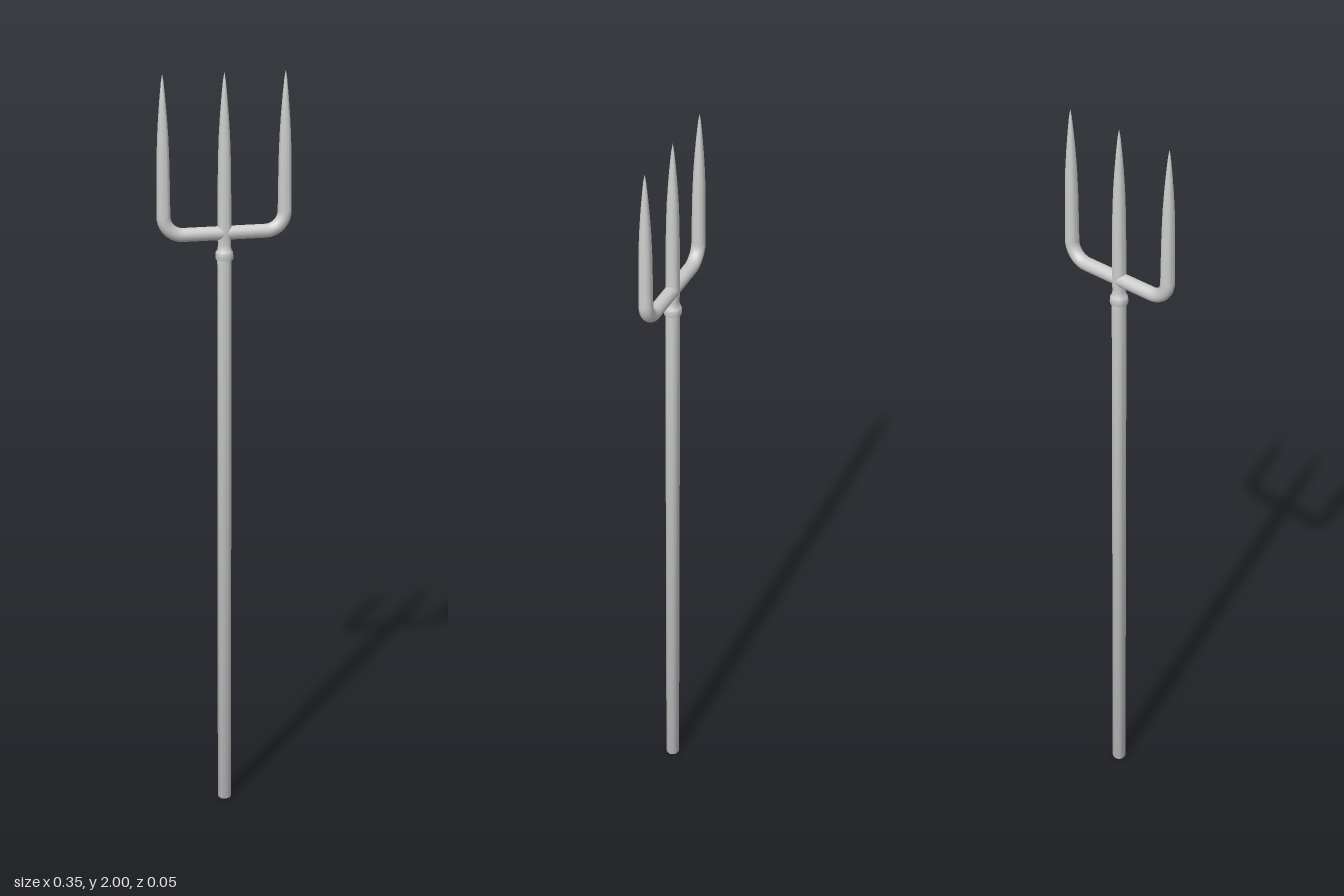
import * as THREE from 'three';
import { toCreasedNormals } from 'three/addons/utils/BufferGeometryUtils.js';

const SIDES = 16;
const TINE_X = 0.158, BAR_Y = 1.592, BEND = 0.05, BAR_R = 0.018;

const material = new THREE.MeshStandardMaterial({ color: 0xcccccc });

function addMesh(group, name, geometry, x = 0) {
  const mesh = new THREE.Mesh(geometry, material);
  mesh.name = name;
  mesh.position.x = x;
  group.add(mesh);
}

// Round part from [radius, height] pairs, listed bottom to top
function turned(profile) {
  const points = profile.map(([r, y]) => new THREE.Vector2(r, y));
  return toCreasedNormals(new THREE.LatheGeometry(points, SIDES), 0.6);
}

// Straight prong ending in a curved point
function tine(baseY) {
  return turned([
    [BAR_R, baseY], [0.0175, 1.70], [0.0165, 1.78], [0.0145, 1.84],
    [0.0115, 1.89], [0.0075, 1.94], [0.0035, 1.98], [0, 2],
  ]);
}

// Crossbar whose two ends curve upward into the outer tines
function crossbar() {
  const v = (x, y) => new THREE.Vector3(x, y, 0);
  const inner = TINE_X - BEND, top = BAR_Y + BEND, k = BEND * 0.45;
  const path = new THREE.CurvePath();
  path.add(new THREE.CubicBezierCurve3(
    v(-TINE_X, top), v(-TINE_X, top - BEND + k), v(-inner - BEND + k, BAR_Y), v(-inner, BAR_Y)));
  path.add(new THREE.LineCurve3(v(-inner, BAR_Y), v(inner, BAR_Y)));
  path.add(new THREE.CubicBezierCurve3(
    v(inner, BAR_Y), v(inner + BEND - k, BAR_Y), v(TINE_X, top - BEND + k), v(TINE_X, top)));
  return new THREE.TubeGeometry(path, 48, BAR_R, SIDES);
}

export function createModel() {
  const group = new THREE.Group();
  group.name = 'pitchfork';

  // Pole with a slightly bevelled foot
  addMesh(group, 'handle', turned([
    [0, 0], [0.0165, 0], [0.0185, 0.004], [0.0185, 1.53], [0, 1.53],
  ]));

  // Ring and neck joining the pole to the fork
  addMesh(group, 'collar', turned([
    [0, 1.523], [0.022, 1.523], [0.0235, 1.528], [0.0225, 1.542], [0.0185, 1.548],
    [0.0165, 1.56], [0.0175, 1.575], [0.0185, 1.60],
  ]));

  // Fork head
  addMesh(group, 'crossbar', crossbar());
  addMesh(group, 'centreTine', tine(BAR_Y));
  for (const [name, side] of [['leftTine', 1], ['rightTine', -1]]) {
    addMesh(group, name, tine(BAR_Y + BEND), side * TINE_X);
  }
  return group;
}
